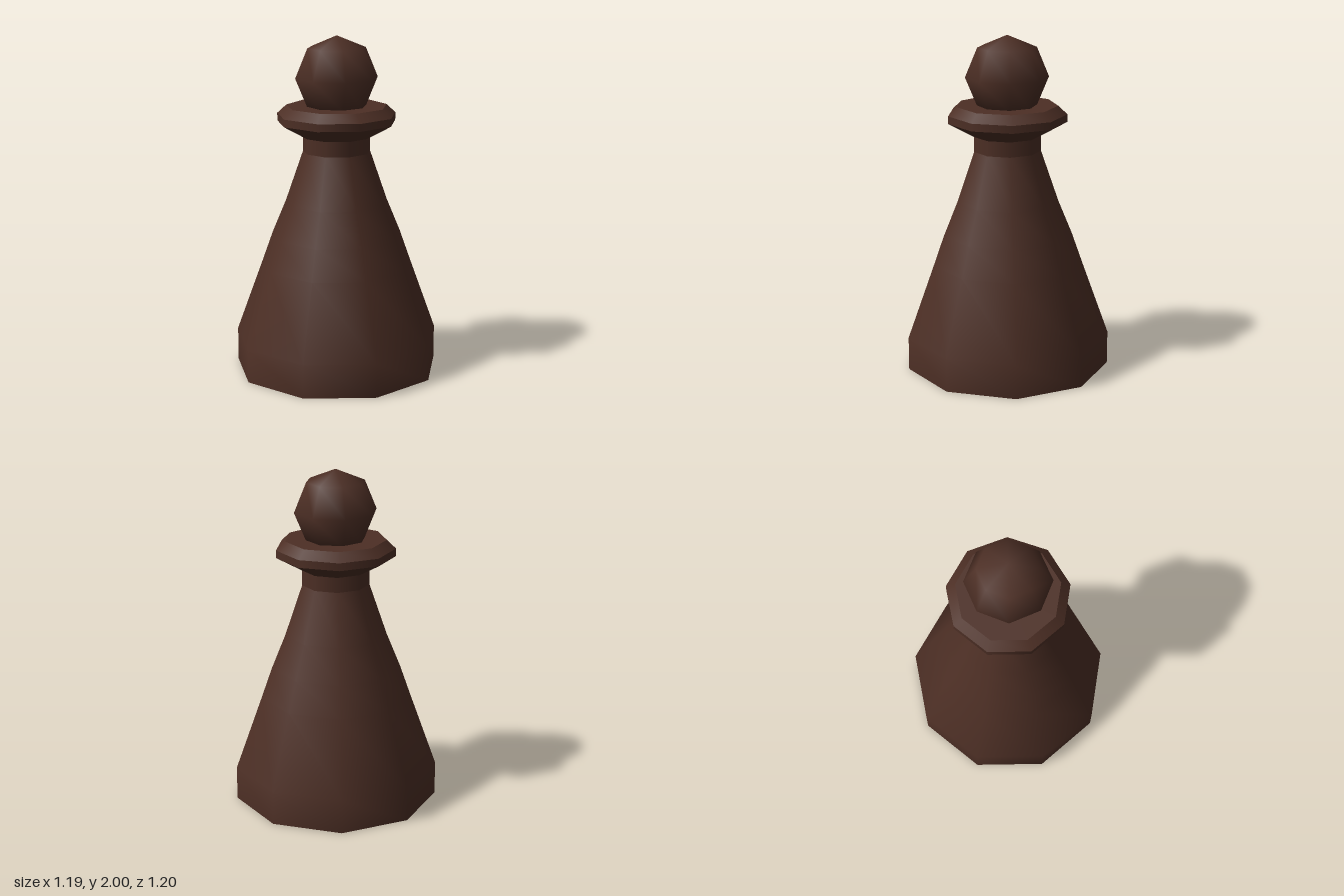
import * as THREE from 'three';

const SIDES = 9;

export function createModel() {
  const model = new THREE.Group();
  model.name = 'pawn';

  const darkWood = new THREE.MeshStandardMaterial({ color: 0x4d2f25 });
  darkWood.name = 'darkWood';

  // Turned piece: profile of [radius, height] from bottom to top, one corner on +x
  function turned(name, profile, parent) {
    const points = profile.map(([r, y]) => new THREE.Vector2(r, y));
    const mesh = new THREE.Mesh(new THREE.LatheGeometry(points, SIDES, Math.PI / 2), darkWood);
    mesh.name = name;
    parent.add(mesh);
  }

  // The nine-sided outline reaches further to +x, so the axis sits slightly left
  const piece = new THREE.Group();
  piece.name = 'piece';
  piece.position.x = -0.02;
  model.add(piece);

  // Base and tapering body, smooth all the way up
  turned('baseUnderside', [[0, 0], [0.611, 0]], piece);
  turned('body', [[0.611, 0], [0.611, 0.2], [0.451, 0.64], [0.387, 0.82], [0.304, 1.02], [0.2, 1.32]], piece);
  turned('neck', [[0.2, 1.32], [0.2, 1.41]], piece);

  // Collar: separate bands keep the edges between them sharp
  const collar = new THREE.Group();
  collar.name = 'collar';
  piece.add(collar);
  const rings = [[0.2, 1.41], [0.353, 1.495], [0.353, 1.54], [0.299, 1.59], [0, 1.59]];
  const bands = ['collarUnderside', 'collarRim', 'collarBevel', 'collarTop'];
  bands.forEach((name, i) => turned(name, [rings[i], rings[i + 1]], collar));

  // Round head, sunk a little into the collar
  const head = new THREE.Mesh(new THREE.SphereGeometry(0.245, 8, 4), darkWood);
  head.name = 'head';
  head.position.y = 1.755;
  piece.add(head);

  return model;
}
